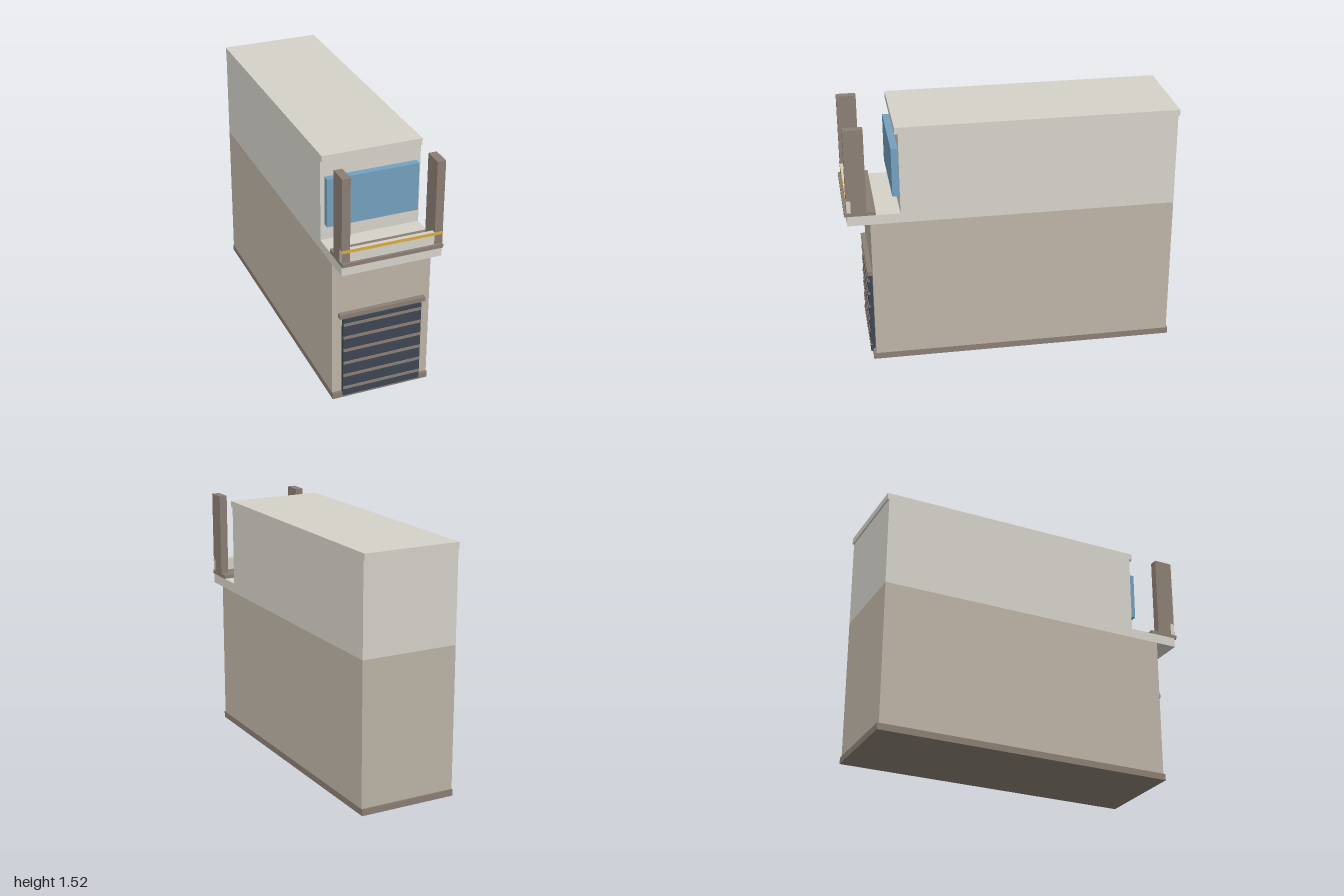
import * as THREE from 'three';

export function createModel() {
  const group = new THREE.Group();
  const paint = (color) => new THREE.MeshStandardMaterial({ color });
  const wall = paint(0xbdb4a7);
  const plaster = paint(0xd5d2c9);
  const trim = paint(0x8b7f74);
  const glass = paint(0x74a0bf);
  const gold = paint(0xd8ac3c);
  const door = paint(0x3d4654);

  // Box given by its extents along each axis
  function box(name, material, [x0, x1], [y0, y1], [z0, z1]) {
    const mesh = new THREE.Mesh(new THREE.BoxGeometry(x1 - x0, y1 - y0, z1 - z0), material);
    mesh.position.set((x0 + x1) / 2, (y0 + y1) / 2, (z0 + z1) / 2);
    mesh.name = name;
    group.add(mesh);
  }
  const span = (half) => [-half, half];
  const full = span(0.305);

  // Ground floor on its plinth
  box('plinth', trim, full, [0, 0.04], [-1, 0.865]);
  box('groundFloor', wall, full, [0.04, 0.92], [-0.99, 0.85]);

  // Upper floor, roof and overhanging balcony slab
  box('upperFloor', plaster, full, [0.92, 1.48], [-0.99, 0.67]);
  box('roof', plaster, full, [1.48, 1.52], [-1, 0.69]);
  box('balconySlab', plaster, full, [0.92, 0.98], [0.67, 0.985]);

  // Balcony edge: kerb, parapet, gold stripe and corner posts
  box('balconyKerb', trim, full, [0.98, 1.003], [0.815, 1]);
  box('parapet', plaster, span(0.3055), [1.003, 1.08], [0.96, 0.985]);
  box('goldStripe', gold, full, [1.062, 1.08], [0.98, 0.988]);
  for (const [name, x] of [['leftPost', [0.255, 0.305]], ['rightPost', [-0.305, -0.255]]]) {
    box(name, trim, x, [1.003, 1.52], [0.868, 0.986]);
  }

  // Upper window
  box('window', glass, span(0.28), [1.08, 1.38], [0.67, 0.712]);

  // Garage door with slats and lintel
  box('garageDoor', door, span(0.245), [0.02, 0.553], [0.85, 0.877]);
  for (let i = 0; i < 6; i++) {
    const y = 0.075 + i * 0.088;
    box('doorSlat', trim, span(0.245), [y - 0.009, y + 0.009], [0.865, 0.881]);
  }
  box('doorLintel', trim, span(0.268), [0.56, 0.588], [0.85, 0.88]);

  return group;
}
